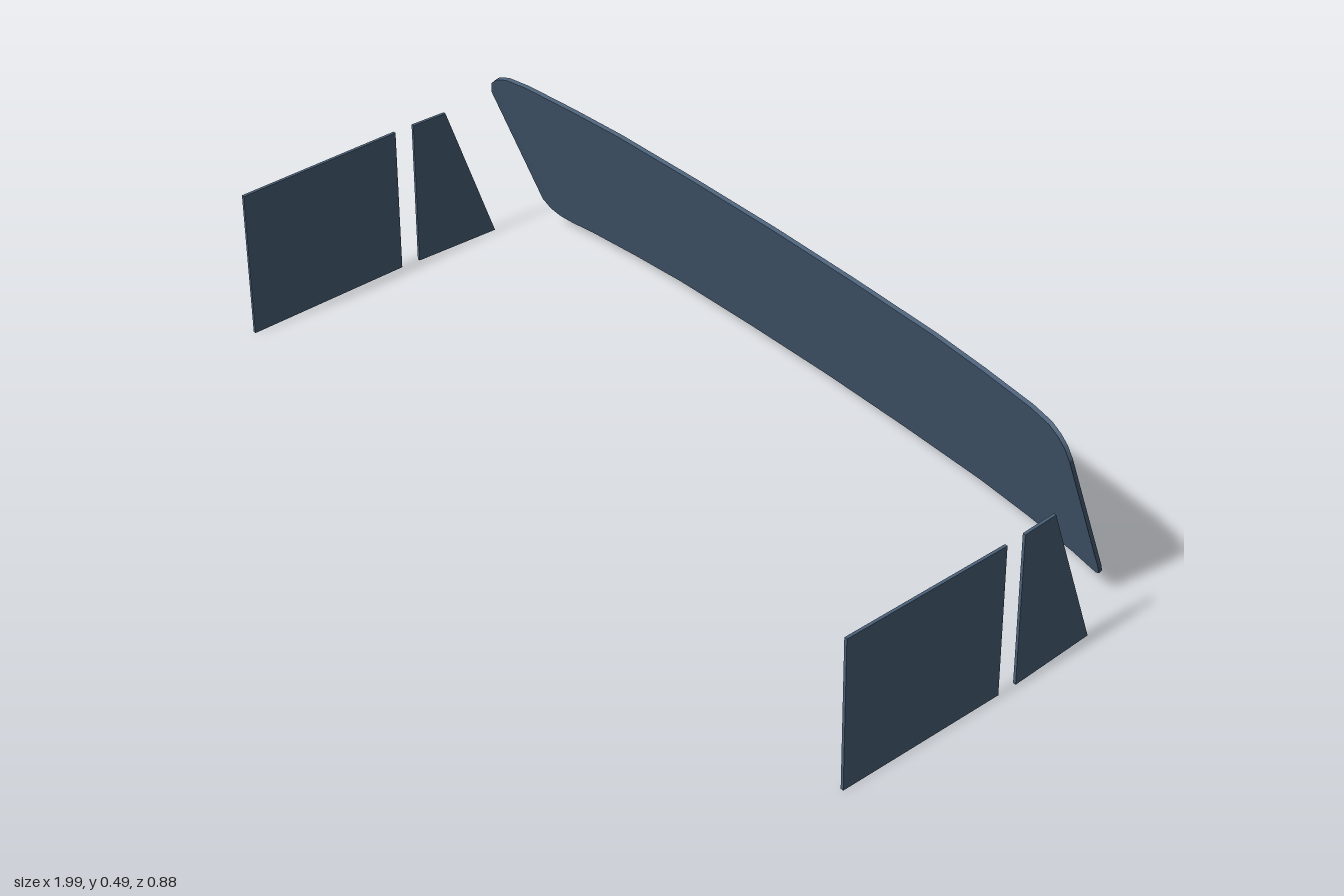
import * as THREE from 'three';

const glass = new THREE.MeshStandardMaterial({ color: 0x4a6078 });

function addMesh(group, name, geometry) {
  const mesh = new THREE.Mesh(geometry, glass);
  mesh.name = name;
  group.add(mesh);
}

// Bowed, raked sheet: each column gives half-width x, corner inset and bow in z
function windscreenGeometry() {
  const half = [
    [0.25, 0, 0.003], [0.5, 0, 0.01], [0.65, 0, 0.021], [0.8, 0, 0.036],
    [0.86, 0.002, 0.047], [0.89, 0.012, 0.056], [0.91, 0.03, 0.063], [0.92, 0.06, 0.068],
  ];
  const columns = [
    ...half.map(([x, inset, bow]) => [-x, inset, bow]).reverse(),
    [0, 0, 0],
    ...half,
  ];
  const n = columns.length - 1;
  const geometry = new THREE.BoxGeometry(1, 1, 1, n, 4, 1);
  const p = geometry.attributes.position;
  for (let i = 0; i < p.count; i++) {
    const [x, inset, bow] = columns[Math.round((p.getX(i) + 0.5) * n)];
    const t = p.getY(i) + 0.5;
    const y = THREE.MathUtils.lerp(0.025 + inset, 0.489 - inset, t);
    const thickness = p.getZ(i) > 0 ? 0.009 : 0;
    // slightly wider at the top, leaning forward as it rises
    p.setXYZ(i, x * (0.992 + 0.012 * t), y - thickness * 0.35,
      -0.441 + 0.382 * (y - 0.025) + bow + thickness);
  }
  geometry.computeVertexNormals();
  return geometry;
}

// Flat pane outlined by [z, y] corners, leaning inwards at the top and rear
function paneGeometry(corners, side, rearLean) {
  const shape = new THREE.Shape(corners.map(([z, y]) => new THREE.Vector2(-z, y)));
  const geometry = new THREE.ExtrudeGeometry(shape, { depth: 0.007, bevelEnabled: false });
  geometry.rotateY(Math.PI / 2);
  geometry.translate(side * 0.9935 - 0.0035, 0, 0);
  const p = geometry.attributes.position;
  for (let i = 0; i < p.count; i++) {
    const lean = 0.018 * p.getY(i) + rearLean * Math.max(0, -p.getZ(i));
    p.setX(i, p.getX(i) - side * lean);
  }
  geometry.computeVertexNormals();
  return geometry;
}

export function createModel() {
  const model = new THREE.Group();
  model.name = 'vehicleGlass';
  addMesh(model, 'windscreen', windscreenGeometry());

  // Door window and tapered quarter window on each side
  const door = [[0.443, 0.004], [0.025, 0.004], [0.025, 0.38], [0.443, 0.38]];
  const quarter = [[-0.025, 0.002], [-0.243, 0.002], [-0.114, 0.38], [-0.025, 0.38]];
  for (const [label, side] of [['left', 1], ['right', -1]]) {
    addMesh(model, label + 'DoorWindow', paneGeometry(door, side, 0));
    addMesh(model, label + 'QuarterWindow', paneGeometry(quarter, side, 0.05));
  }
  return model;
}
